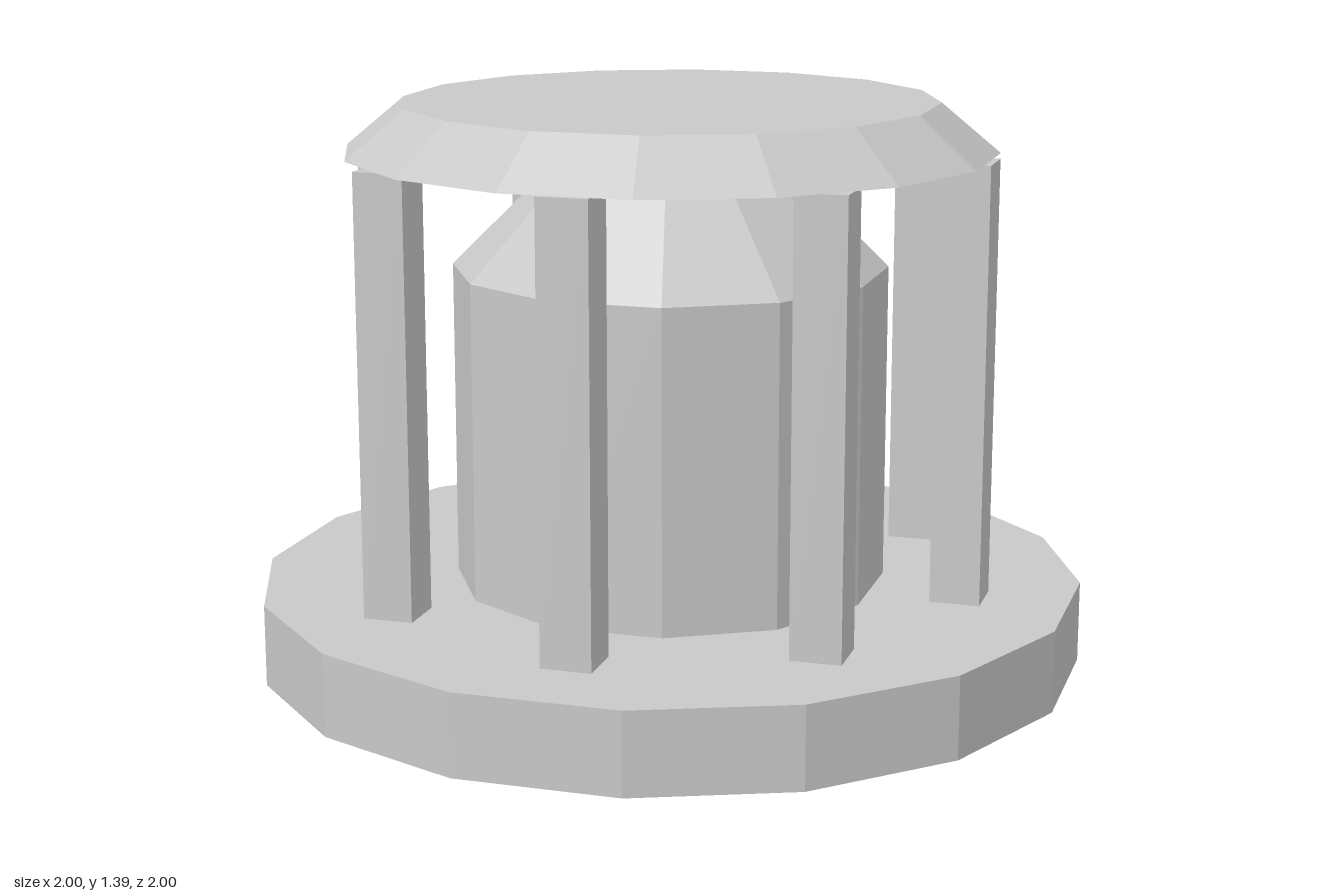
import * as THREE from 'three';

// Upright prism or frustum with flats facing the axes; radii are measured to the flats
function prism(name, material, sides, rTop, rBottom, y0, y1) {
  const k = 1 / Math.cos(Math.PI / sides);
  const geometry = new THREE.CylinderGeometry(
    rTop * k, rBottom * k, y1 - y0, sides, 1, false, Math.PI / sides);
  const mesh = new THREE.Mesh(geometry, material);
  mesh.name = name;
  mesh.position.y = (y0 + y1) / 2;
  return mesh;
}

export function createModel() {
  const model = new THREE.Group();
  model.name = 'pavilion';
  const stone = new THREE.MeshStandardMaterial({ color: 0xc8c8c8, flatShading: true });
  stone.name = 'pale grey';

  // Plinth, inner chamber with tapered top, and bevelled roof
  model.add(
    prism('base', stone, 16, 1, 1, 0, 0.2),
    prism('core', stone, 12, 0.515, 0.515, 0.2, 0.98),
    prism('coreTaper', stone, 12, 0.28, 0.515, 0.98, 1.223),
    prism('roof', stone, 16, 0.64, 0.78, 1.267, 1.386));

  // Ring of eight square columns, all aligned with the axes
  const columns = new THREE.Group();
  columns.name = 'columns';
  const columnGeometry = new THREE.BoxGeometry(0.122, 1.067, 0.122);
  for (let i = 0; i < 8; i++) {
    const a = (i * Math.PI) / 4;
    const column = new THREE.Mesh(columnGeometry, stone);
    column.name = 'column';
    column.position.set(0.735 * Math.sin(a), 0.7335, 0.735 * Math.cos(a));
    columns.add(column);
  }
  model.add(columns);
  return model;
}
